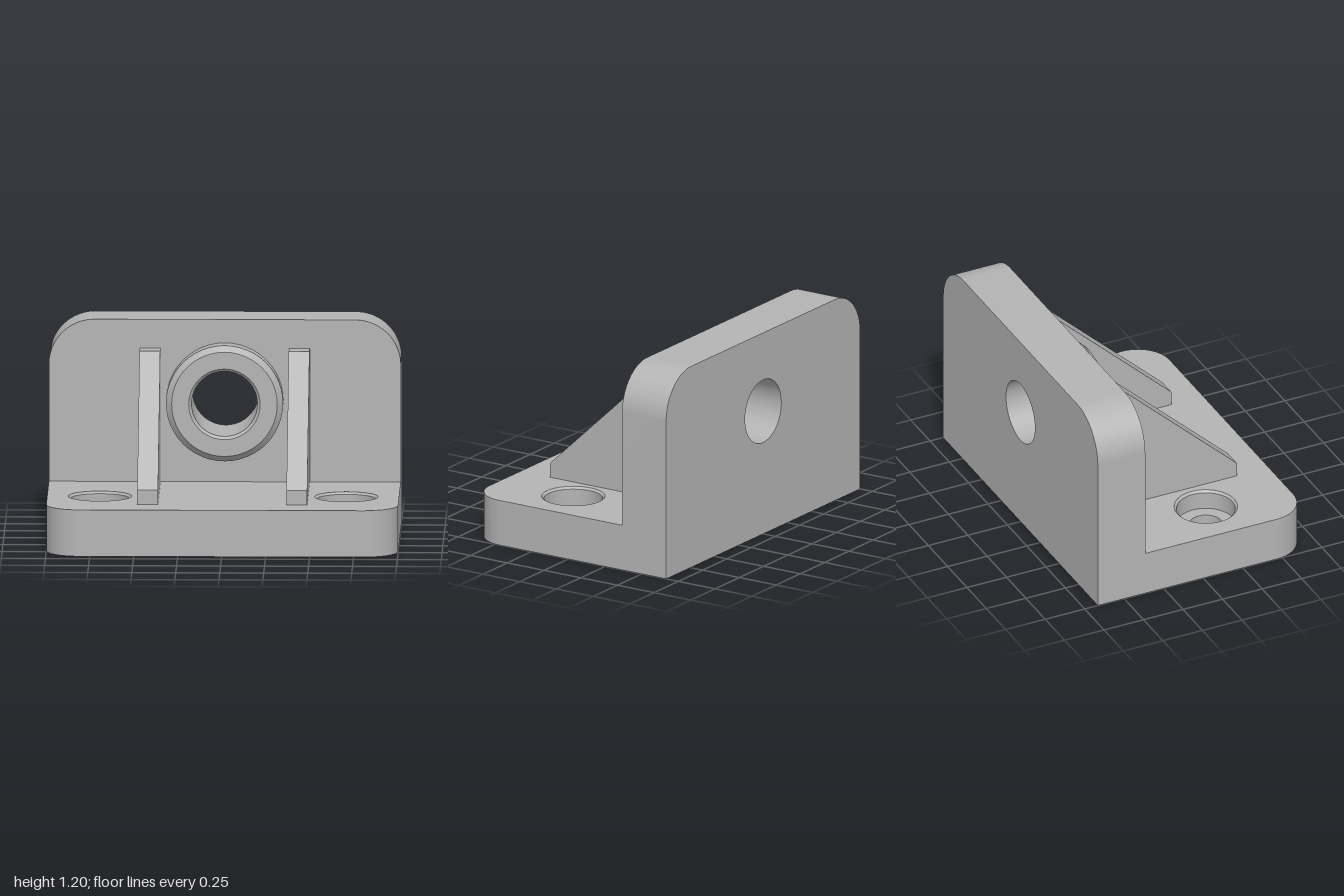
import * as THREE from 'three';
import { toCreasedNormals } from 'three/addons/utils/BufferGeometryUtils.js';

const SEG = 48;
const BASE_H = 0.267, WALL_Z = -0.367, DEPTH = 0.667, BORE_Y = 0.733;

// Plate outline: square corners at y0, rounded corners at y1, round holes [x, y, r]
function plate(y0, y1, radius, holes, thickness) {
  const s = new THREE.Shape();
  s.moveTo(-1, y0);
  s.lineTo(1, y0);
  s.lineTo(1, y1 - radius);
  s.absarc(1 - radius, y1 - radius, radius, 0, Math.PI / 2, false);
  s.lineTo(-1 + radius, y1);
  s.absarc(-1 + radius, y1 - radius, radius, Math.PI / 2, Math.PI, false);
  s.closePath();
  for (const [x, y, r] of holes) {
    const h = new THREE.Path();
    h.absarc(x, y, r, 0, Math.PI * 2, true);
    s.holes.push(h);
  }
  const g = new THREE.ExtrudeGeometry(s, { depth: thickness, bevelEnabled: false, curveSegments: SEG });
  return toCreasedNormals(g, 0.5);
}

function turned(points) {
  const g = new THREE.LatheGeometry(points.map(([r, y]) => new THREE.Vector2(r, y)), SEG);
  return toCreasedNormals(g, 0.5);
}

export function createModel() {
  const group = new THREE.Group();
  const grey = new THREE.MeshStandardMaterial({ color: 0xb4b4b4 });
  grey.name = 'grey';
  const add = (name, geometry, x = 0, y = 0, z = 0) => {
    const mesh = new THREE.Mesh(geometry, grey);
    mesh.name = name;
    mesh.position.set(x, y, z);
    group.add(mesh);
  };

  // Base plate, rounded at the front
  const holeX = 0.7, holeZ = 0.163, rimR = 0.18;
  const base = plate(WALL_Z, DEPTH, 0.2, [[-holeX, holeZ, rimR], [holeX, holeZ, rimR]], BASE_H);
  add('basePlate', base.rotateX(Math.PI / 2), 0, BASE_H, 0);

  // Upright wall, rounded at the top, with the bore through it
  const wall = plate(0, 1.2, 0.26, [[0, BORE_Y, 0.187]], DEPTH + WALL_Z);
  add('wall', wall, 0, 0, -DEPTH);

  // Chamfered boss around the bore
  const boss = turned([[0.333, 0], [0.333, 0.1], [0.3, 0.133], [0.203, 0.133], [0.187, 0.117], [0.187, 0]]);
  add('boss', boss.rotateX(Math.PI / 2), 0, BORE_Y, WALL_Z);

  // Rib profile, drawn as (-z, y) and turned to face along x
  const ribWidth = 0.118;
  const profile = new THREE.Shape([
    [-0.467, BASE_H], [-WALL_Z, BASE_H], [-WALL_Z, 1.035], [0.255, 1.035], [-0.467, 0.35],
  ].map(([u, v]) => new THREE.Vector2(u, v)));
  const rib = new THREE.ExtrudeGeometry(profile, { depth: ribWidth, bevelEnabled: false });
  rib.translate(0, 0, -ribWidth / 2).rotateY(Math.PI / 2);

  // Counterbored screw holes: chamfer, seat, through hole, underside ring
  const counterbore = turned([
    [rimR, BASE_H], [0.167, BASE_H - 0.013], [0.167, 0.15], [0.095, 0.15], [0.095, 0], [rimR, 0],
  ]);

  for (const [side, sign] of [['left', 1], ['right', -1]]) {
    add(side + 'Rib', rib, sign * 0.424, 0, 0);
    add(side + 'Counterbore', counterbore, sign * holeX, 0, holeZ);
  }
  return group;
}
